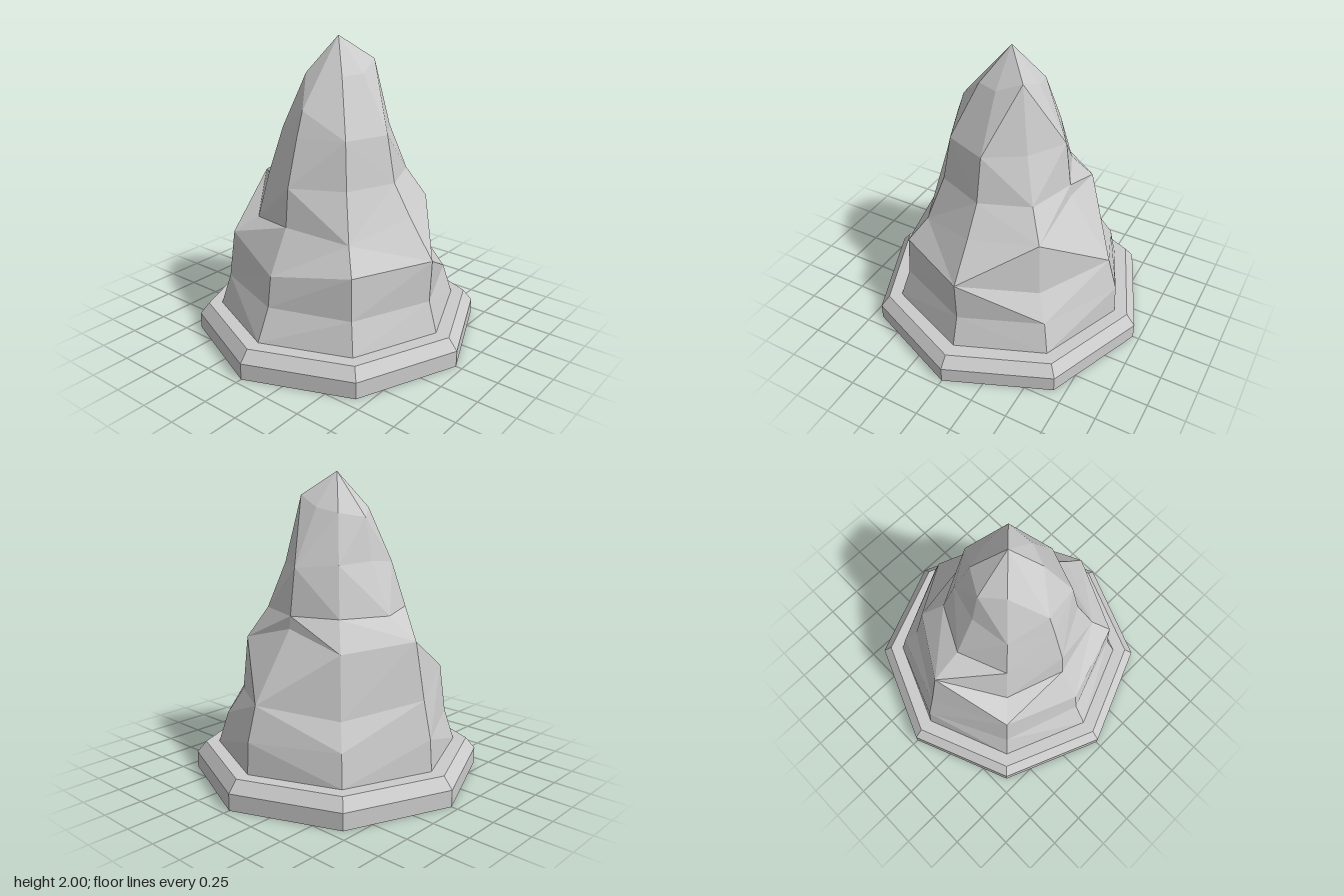
import * as THREE from 'three';

// Rock columns every 45 degrees, from +x towards +z: [radius, height] from foot to tip
const COLUMNS = [
  [[0.80, 0.185], [0.74, 0.39], [0.75, 0.67], [0.575, 0.92], [0.45, 1.12], [0.39, 1.42], [0.20, 1.78]],
  [[0.805, 0.185], [0.735, 0.39], [0.72, 0.665], [0.58, 0.82], [0.455, 1.12], [0.40, 1.42], [0.205, 1.775]],
  [[0.80, 0.185], [0.70, 0.39], [0.67, 0.59], [0.52, 0.87], [0.495, 1.12], [0.405, 1.42], [0.35, 1.58]],
  [[0.805, 0.185], [0.74, 0.39], [0.70, 0.71], [0.535, 0.81], [0.455, 1.12], [0.36, 1.42], [0.205, 1.77]],
  [[0.80, 0.185], [0.785, 0.39], [0.73, 0.63], [0.66, 0.99], [0.45, 1.12], [0.30, 1.45], [0.245, 1.72]],
  [[0.805, 0.185], [0.76, 0.39], [0.66, 0.55], [0.58, 0.94], [0.42, 1.12], [0.33, 1.44], [0.22, 1.75]],
  [[0.805, 0.185], [0.795, 0.39], [0.73, 0.61], [0.435, 1.04], [0.425, 1.12], [0.385, 1.42], [0.19, 1.78]],
  [[0.805, 0.185], [0.74, 0.39], [0.63, 0.56], [0.595, 0.92], [0.455, 1.12], [0.335, 1.42], [0.23, 1.85]],
];

function rockGeometry() {
  const columns = COLUMNS.map((col, i) => col.map(([r, y]) => {
    const a = (i * Math.PI) / 4;
    return new THREE.Vector3(r * Math.cos(a), y, r * Math.sin(a));
  }));
  const apex = new THREE.Vector3(0, 2, 0);
  const points = [];
  // Distance of an edge's midpoint from the axis
  const reach = (p, q) => Math.hypot(p.x + q.x, p.z + q.z) / 2;

  columns.forEach((col, i) => {
    const next = columns[(i + 1) % columns.length];
    for (let k = 0; k < col.length - 1; k++) {
      const a = col[k], b = next[k], c = next[k + 1], d = col[k + 1];
      // Split each facet along its more outward diagonal
      if (reach(b, d) > reach(a, c)) points.push(b, a, d, b, d, c);
      else points.push(b, a, c, a, d, c);
    }
    points.push(next.at(-1), col.at(-1), apex);
  });
  const geometry = new THREE.BufferGeometry().setFromPoints(points);
  geometry.computeVertexNormals();
  return geometry;
}

export function createModel() {
  const model = new THREE.Group();
  model.name = 'rockOnPlinth';
  const stone = new THREE.MeshStandardMaterial({
    color: 0xcccccc, flatShading: true, side: THREE.DoubleSide,
  });

  // Octagonal bevelled plinth, open underneath
  const profile = [[0.957, 0], [0.957, 0.11], [0.895, 0.185], [0.80, 0.185]]
    .map(([r, y]) => new THREE.Vector2(r, y));
  const plinth = new THREE.Mesh(new THREE.LatheGeometry(profile, 8), stone);
  plinth.name = 'plinth';

  // Faceted rock spire
  const rock = new THREE.Mesh(rockGeometry(), stone);
  rock.name = 'rock';

  model.add(plinth, rock);
  return model;
}
